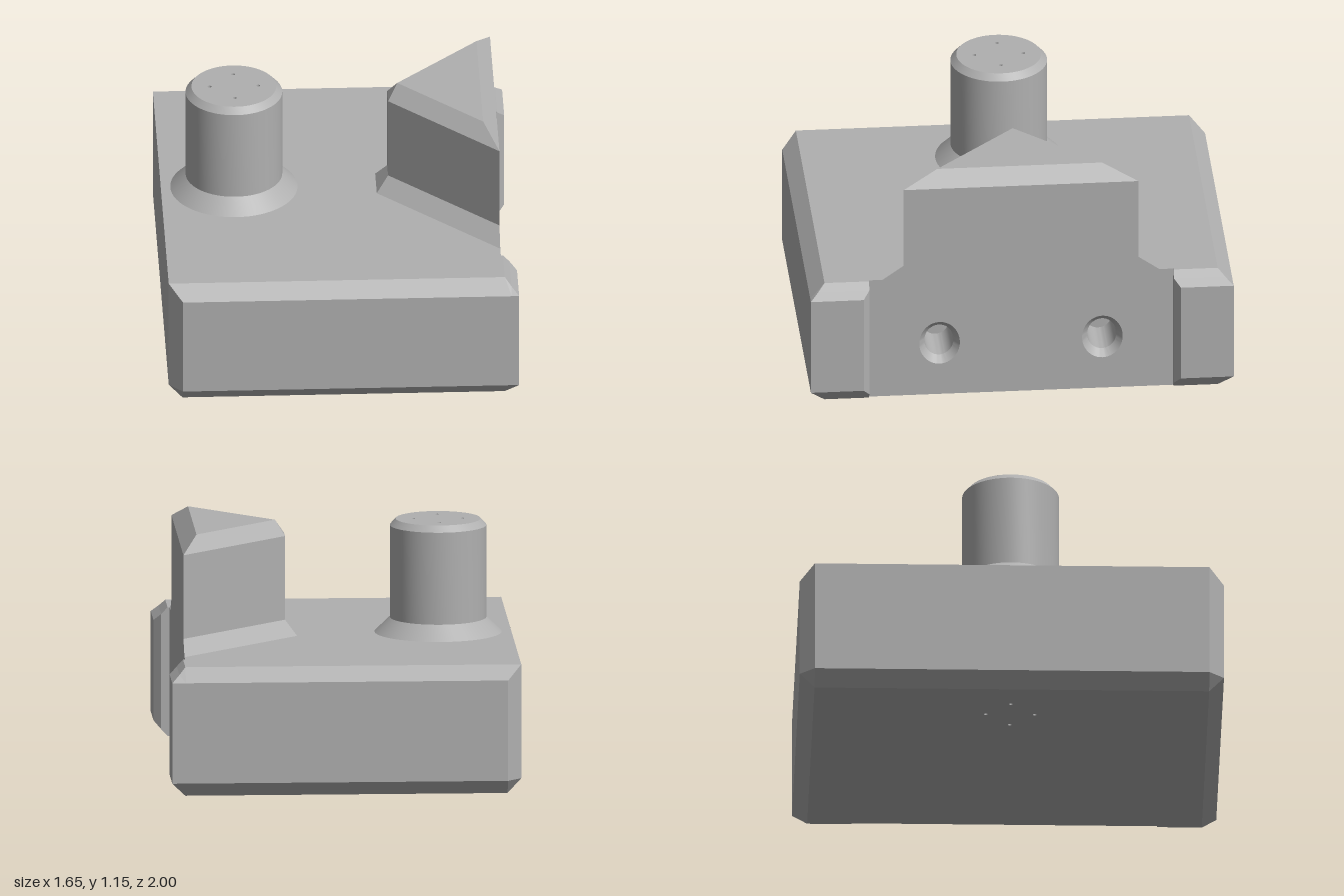
import * as THREE from 'three';
import { toCreasedNormals } from 'three/addons/utils/BufferGeometryUtils.js';

const grey = new THREE.MeshStandardMaterial({ color: 0xb0b0b0, side: THREE.DoubleSide });
grey.name = 'machinedGrey';

// Joins equal-length rings of [x, y, z] points with flat faces; skip lists ring edges left open.
function loft(rings, { skip = [], capStart = false, capEnd = false } = {}) {
  const pos = [];
  const tri = (a, b, c) => pos.push(...a, ...b, ...c);
  const n = rings[0].length;
  for (let i = 0; i + 1 < rings.length; i++) {
    for (let j = 0; j < n; j++) {
      if (skip.includes(j)) continue;
      const k = (j + 1) % n, p = rings[i], q = rings[i + 1];
      tri(p[j], p[k], q[k]);
      tri(p[j], q[k], q[j]);
    }
  }
  const first = rings[0], last = rings[rings.length - 1];
  for (let j = 1; j + 1 < n; j++) {
    if (capStart) tri(first[0], first[j + 1], first[j]);
    if (capEnd) tri(last[0], last[j], last[j + 1]);
  }
  const g = new THREE.BufferGeometry();
  g.setAttribute('position', new THREE.Float32BufferAttribute(pos, 3));
  g.computeVertexNormals();
  return g;
}

// Flat face with elliptical holes given as [u, v, ru, rv].
function plate(outline, holes) {
  const s = new THREE.Shape(outline.map(([u, v]) => new THREE.Vector2(u, v)));
  for (const [u, v, ru, rv] of holes) {
    s.holes.push(new THREE.Path().absellipse(u, v, ru, rv, 0, Math.PI * 2, true));
  }
  return new THREE.ShapeGeometry(s, 32);
}

const lathe = (pts) => toCreasedNormals(
  new THREE.LatheGeometry(pts.map(([r, y]) => new THREE.Vector2(r, y)), 64), 0.4);

export function createModel() {
  const model = new THREE.Group();
  const add = (name, geometry, parent = model) => {
    const m = new THREE.Mesh(geometry, grey);
    m.name = name;
    parent.add(m);
    return m;
  };
  const H = 0.615, FACE = 0.75, TOP = 1.155, POST_X = -0.48;
  const atX = (x, zy) => zy.map(([z, y]) => [x, y, z]);

  // Base block: chamfered section, closed by a bevelled end at -x
  const section = [[0.93, 0], [-0.93, 0], [-1, 0.07], [-1, 0.55],
    [-0.93, H], [0.93, H], [1, 0.55], [1, 0.07]];
  const endSection = [[0.93, 0.07], [-0.93, 0.07], [-0.93, 0.07], [-0.93, H],
    [-0.93, H], [0.93, H], [0.93, H], [0.93, 0.07]];
  const base = new THREE.Group();
  base.name = 'base';
  model.add(base);
  add('baseEnd', loft([atX(-0.825, endSection), atX(-0.76, section)], { capStart: true }), base);
  add('baseSides', loft([atX(-0.76, section), atX(FACE, section)], { skip: [0, 4] }), base);

  // Four pin holes run right through the post and base
  const pins = [[0.115, 0], [-0.115, 0], [0, 0.115], [0, -0.115]];
  const pinHoles = (cx) => pins.map(([x, z]) => [cx + x, z, 0.009, 0.009]);
  const rect = [[-0.76, -0.93], [FACE, -0.93], [FACE, 0.93], [-0.76, 0.93]];
  add('baseTop', plate(rect, [[POST_X, 0, 0.2, 0.2]])
    .rotateX(-Math.PI / 2).translate(0, H, 0), base);
  add('baseBottom', plate(rect, pinHoles(POST_X)).rotateX(Math.PI / 2), base);

  // Ears at both ends of the mounting face
  for (const s of [1, -1]) {
    const ring = (x, inner, lo, hi, mid, out = 1) => {
      const r = [[mid, lo], [inner, lo], [inner, hi], [mid, hi], [out, 0.55], [out, 0.07]]
        .map(([z, y]) => [x, y, z * s]);
      return s > 0 ? r : r.reverse();
    };
    add(s > 0 ? 'frontEar' : 'backEar', loft([
      ring(FACE, 0.72, 0, H, 0.93),
      ring(0.76, 0.72, 0, H, 0.93),
      ring(0.79, 0.72, 0.032, 0.583, 0.962),
      ring(0.825, 0.75, 0.07, 0.55, 1),
    ], { capEnd: true }));
  }

  // Mounting face, shared by the base and the wedge
  const half = [[0.72, 0], [0.72, H], [0.655, H], [0.555, 0.685], [0.555, 1.085]];
  const outline = [...half, ...half.map(([u, v]) => [-u, v]).reverse()];
  const HOLE_Y = 0.27, HOLE_Z = 0.385;
  add('mountingFace', plate(outline, [-1, 1].map((s) => [s * HOLE_Z, HOLE_Y, 0.096, 0.11]))
    .rotateY(Math.PI / 2).translate(FACE, 0, 0));

  // Countersunk screw holes
  for (const s of [1, -1]) {
    const bore = lathe([[0.096, 0], [0.069, -0.035], [0.069, -0.25], [0, -0.25]]);
    bore.scale(0.11 / 0.096, 1, 1).rotateZ(-Math.PI / 2).translate(FACE, HOLE_Y, s * HOLE_Z);
    add(s > 0 ? 'frontScrewHole' : 'backScrewHole', bore);
  }

  // Triangular wedge with flared foot and bevelled top
  const tri = (y, x1, w1, x0, w0) => [[x1, y, -w1], [x0, y, -w0], [x0, y, w0], [x1, y, w1]];
  const shoulder = tri(1.085, FACE, 0.555, 0.245, 0.05);
  add('wedge', loft([
    tri(H, FACE, 0.655, 0.19, 0.095),
    tri(0.685, FACE, 0.555, 0.245, 0.05),
    shoulder,
  ], { skip: [3] }));
  add('wedgeTop', loft([shoulder, tri(TOP, 0.68, 0.39, 0.29, 0)], { capEnd: true }));

  // Round post with flared foot and bevelled rim
  const post = new THREE.Group();
  post.name = 'post';
  post.position.x = POST_X;
  model.add(post);
  add('postSide', lathe([[0.3, H], [0.228, 0.685], [0.228, 1.125], [0.2, TOP]]), post);
  const disc = new THREE.Path().absarc(0, 0, 0.2, 0, Math.PI * 2).getPoints(64).slice(0, -1);
  add('postTop', plate(disc.map((p) => [p.x, p.y]), pinHoles(0))
    .rotateX(-Math.PI / 2).translate(0, TOP, 0), post);
  for (const [x, z] of pins) {
    add('pinHole', new THREE.CylinderGeometry(0.009, 0.009, TOP, 16, 1, true)
      .translate(x, TOP / 2, z), post);
  }
  return model;
}
